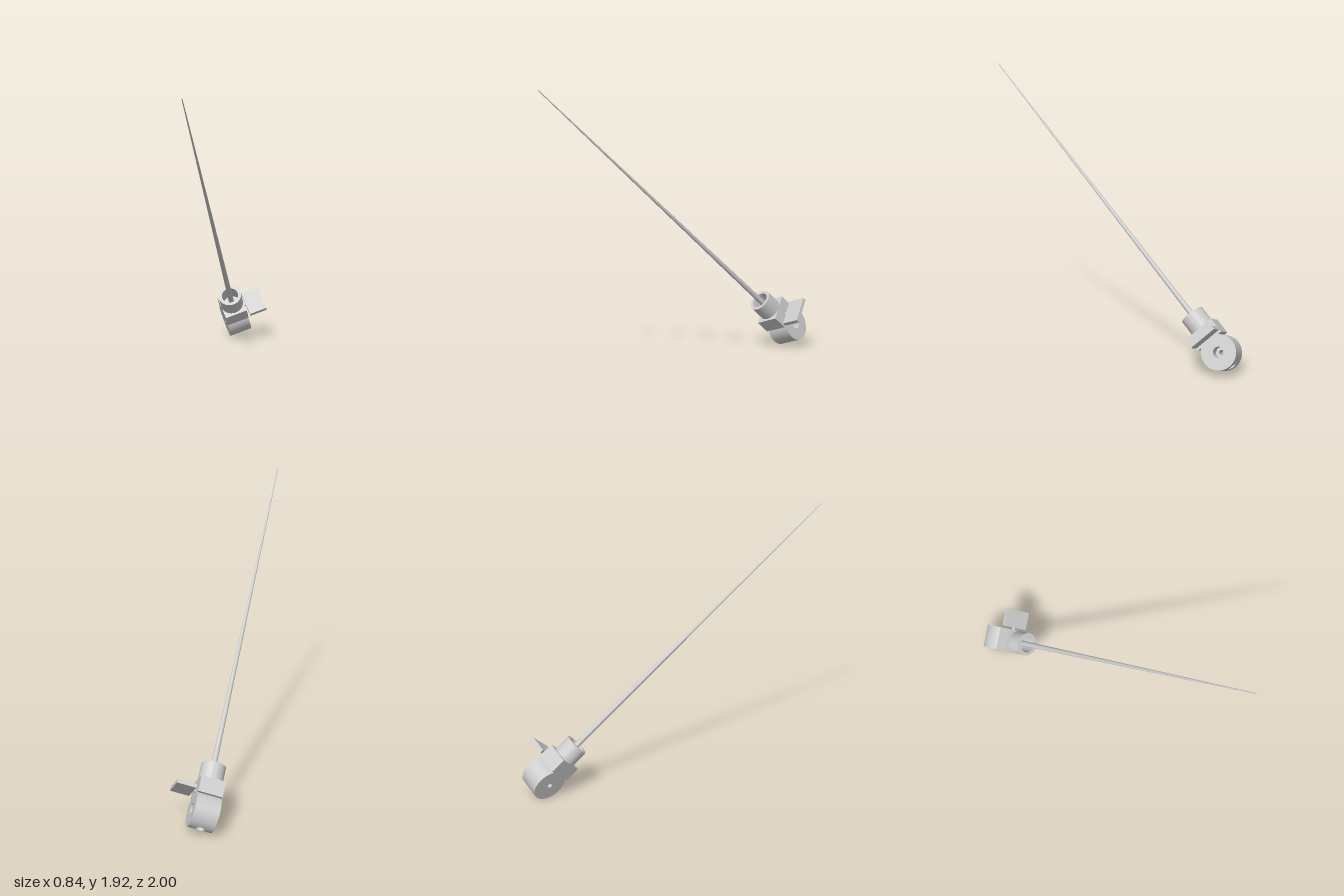
import * as THREE from 'three';
import { toCreasedNormals } from 'three/addons/utils/BufferGeometryUtils.js';
import { ParametricGeometry } from 'three/addons/geometries/ParametricGeometry.js';

const material = new THREE.MeshStandardMaterial({ color: 0xcccccc, side: THREE.DoubleSide });

function add(parent, name, geometry, x = 0, y = 0, z = 0) {
  const mesh = new THREE.Mesh(geometry, material);
  mesh.name = name;
  mesh.position.set(x, y, z);
  parent.add(mesh);
  return mesh;
}

// Sharp-edged turned part from [radius, height] pairs
function turned(points) {
  const profile = points.map(([r, h]) => new THREE.Vector2(r, h));
  return toCreasedNormals(new THREE.LatheGeometry(profile, 64), 0.6);
}

export function createModel() {
  const model = new THREE.Group();
  model.name = 'model';

  // Tilted assembly: local x is the hub axle, local y runs along the rod
  const arm = new THREE.Group();
  arm.name = 'arm';
  arm.rotation.set(Math.PI / 4, 0, 0.336, 'ZXY');
  arm.position.set(0.204, 0.141, -0.88);
  model.add(arm);

  const R = 0.12, W = 0.083, holeR = 0.03, patch = 0.4;

  // Hub: both faces and the stepped bore
  const hub = new THREE.Group();
  hub.name = 'hub';
  arm.add(hub);
  add(hub, 'hubFacesAndBore', turned([
    [R, W], [0.037, W], [0.037, 0], [0.017, 0], [0.017, -W], [R, -W],
  ]).rotateZ(-Math.PI / 2));

  // Hub rim, with a patch that surrounds the set-screw hole
  const onRim = (x, phi, target) => target.set(x, -R * Math.cos(phi), R * Math.sin(phi));
  add(hub, 'hubRim', new ParametricGeometry((u, v, target) => {
    onRim((2 * u - 1) * W, patch + v * (2 * Math.PI - 2 * patch), target);
  }, 1, 56));
  add(hub, 'rimHoleSurround', new ParametricGeometry((u, v, target) => {
    const c = Math.cos(v * 2 * Math.PI), s = Math.sin(v * 2 * Math.PI);
    const k = 1 / Math.max(Math.abs(c), Math.abs(s));
    const x = THREE.MathUtils.lerp(holeR * c, W * c * k, u);
    const phi = THREE.MathUtils.lerp(holeR * s / R, patch * s * k, u);
    onRim(x, phi, target);
  }, 6, 64));
  add(hub, 'rimHole', new THREE.CylinderGeometry(holeR, holeR, 0.08, 32, 1, true), 0, -0.077, 0);

  // Square block joining the hub and the socket
  add(arm, 'block', new THREE.BoxGeometry(2 * W, 0.11, 0.2), 0, 0.15, 0);

  // Hollow socket holding the rod
  add(arm, 'socket', turned([
    [W, 0.2], [W, 0.325], [0.06, 0.325], [0.06, 0.21], [0, 0.21],
  ]));

  // Flat thumb plate on a short stem
  add(arm, 'plateStem', new THREE.CylinderGeometry(0.0125, 0.0125, 0.06, 16).rotateZ(Math.PI / 2), 0.09, 0.123, 0);
  add(arm, 'thumbPlate', new THREE.BoxGeometry(0.13, 0.027, 0.2), 0.165, 0.123, 0);

  // Long tapering rod
  const base = 0.2, tip = 2.657;
  add(arm, 'rod', new THREE.CylinderGeometry(0.003, 0.02, tip - base, 16), 0, (base + tip) / 2, 0);

  return model;
}
